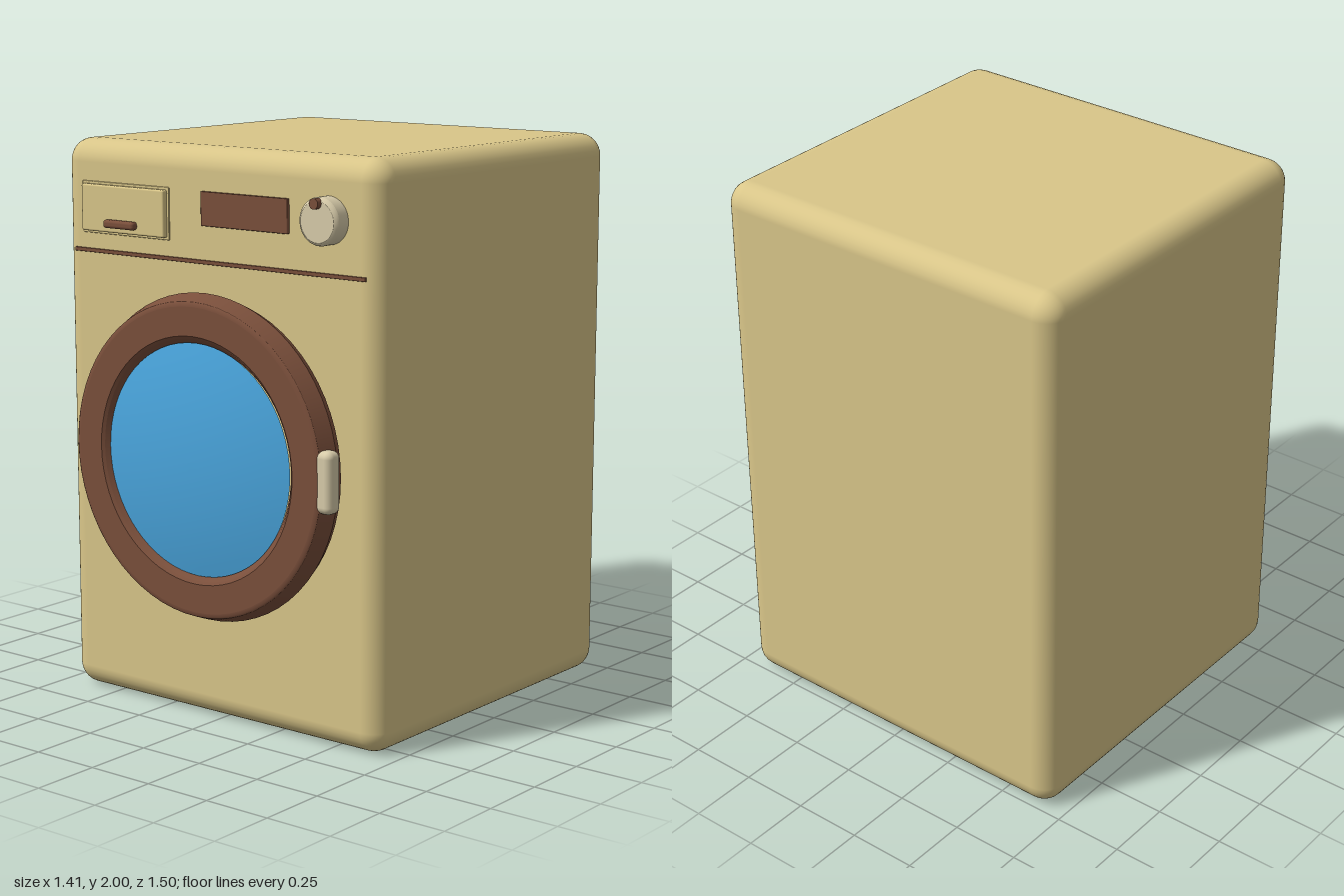
import * as THREE from 'three';
import { RoundedBoxGeometry } from 'three/addons/geometries/RoundedBoxGeometry.js';

const paint = (name, color) => Object.assign(new THREE.MeshStandardMaterial({ color }), { name });

export function createModel() {
  const sand = paint('sand enamel', 0xd9c689);
  const brown = paint('brown trim', 0x7a4f3b);
  const cream = paint('cream fittings', 0xd8ccaa);
  const blue = paint('blue glass', 0x4aa6de);

  const model = new THREE.Group();
  model.name = 'washingMachine';

  const add = (name, geometry, material, x = 0, y = 0, z = 0, parent = model) => {
    const mesh = new THREE.Mesh(geometry, material);
    mesh.name = name;
    mesh.position.set(x, y, z);
    parent.add(mesh);
    return mesh;
  };

  // Rounded box given by its limits on each axis
  const block = (name, material, [x0, x1], [y0, y1], [z0, z1], radius, segments = 3) =>
    add(name, new RoundedBoxGeometry(x1 - x0, y1 - y0, z1 - z0, segments, radius), material,
      (x0 + x1) / 2, (y0 + y1) / 2, (z0 + z1) / 2);

  // Surface of revolution facing +z; each run of [radius, z] points is smooth, runs meet sharply
  const turned = (name, material, runs, x, y, parent = model) => {
    const group = new THREE.Group();
    group.name = name;
    group.position.set(x, y, 0);
    runs.forEach((run, i) => {
      const geometry = new THREE.LatheGeometry(run.map(([r, z]) => new THREE.Vector2(r, z)), 64);
      geometry.rotateX(Math.PI / 2);
      add(`${name}Surface${i + 1}`, geometry, material, 0, 0, 0, group);
    });
    parent.add(group);
  };

  // Cabinet
  block('cabinet', sand, [-0.705, 0.705], [0, 2], [-0.75, 0.612], 0.08, 4);

  // Control panel
  block('panelSeam', brown, [-0.645, 0.645], [1.604, 1.618], [0.6, 0.618], 0.002, 1);
  block('drawerFrame', sand, [-0.605, -0.2], [1.673, 1.855], [0.6, 0.617], 0.003, 1);
  block('drawerFront', sand, [-0.594, -0.209], [1.682, 1.846], [0.605, 0.636], 0.007, 2);
  block('drawerPull', brown, [-0.473, -0.33], [1.7, 1.729], [0.63, 0.66], 0.011);
  block('display', brown, [-0.05, 0.327], [1.735, 1.852], [0.6, 0.624], 0.003, 1);

  // Dial with its pointer
  turned('dial', cream, [
    [[0.08, 0.605], [0.08, 0.66]],
    [[0.08, 0.66], [0.077, 0.669], [0.068, 0.675]],
    [[0.068, 0.675], [0, 0.675]],
  ], 0.493, 1.792);
  turned('dialPointer', brown, [
    [[0.018, 0.66], [0.018, 0.694]],
    [[0.018, 0.694], [0, 0.694]],
  ], 0.493, 1.852);

  // Door
  const door = new THREE.Group();
  door.name = 'door';
  model.add(door);
  turned('doorNeck', brown, [[[0.485, 0.605], [0.485, 0.63]]], 0, 0.945, door);
  turned('doorRing', brown, [
    [[0.4, 0.627], [0.555, 0.627]],
    [[0.555, 0.627], [0.57, 0.662]],
    [[0.57, 0.662], [0.547, 0.722]],
    [[0.547, 0.722], [0.54, 0.727], [0.53, 0.728]],
    [[0.53, 0.728], [0.43, 0.728]],
    [[0.43, 0.728], [0.42, 0.72]],
    [[0.42, 0.72], [0.395, 0.69]],
  ], 0, 0.945, door);

  // Domed window
  const dome = Array.from({ length: 13 }, (_, i) => {
    const r = 0.405 * (1 - i / 12);
    return [r, 0.752 - 0.27 * r * r];
  });
  turned('window', blue, [dome], 0, 0.945, door);

  // Hinge and door handle
  block('hinge', brown, [-0.615, -0.52], [0.862, 1.03], [0.605, 0.658], 0.02);
  block('doorHandle', cream, [0.523, 0.59], [0.84, 1.052], [0.665, 0.731], 0.025);

  return model;
}
